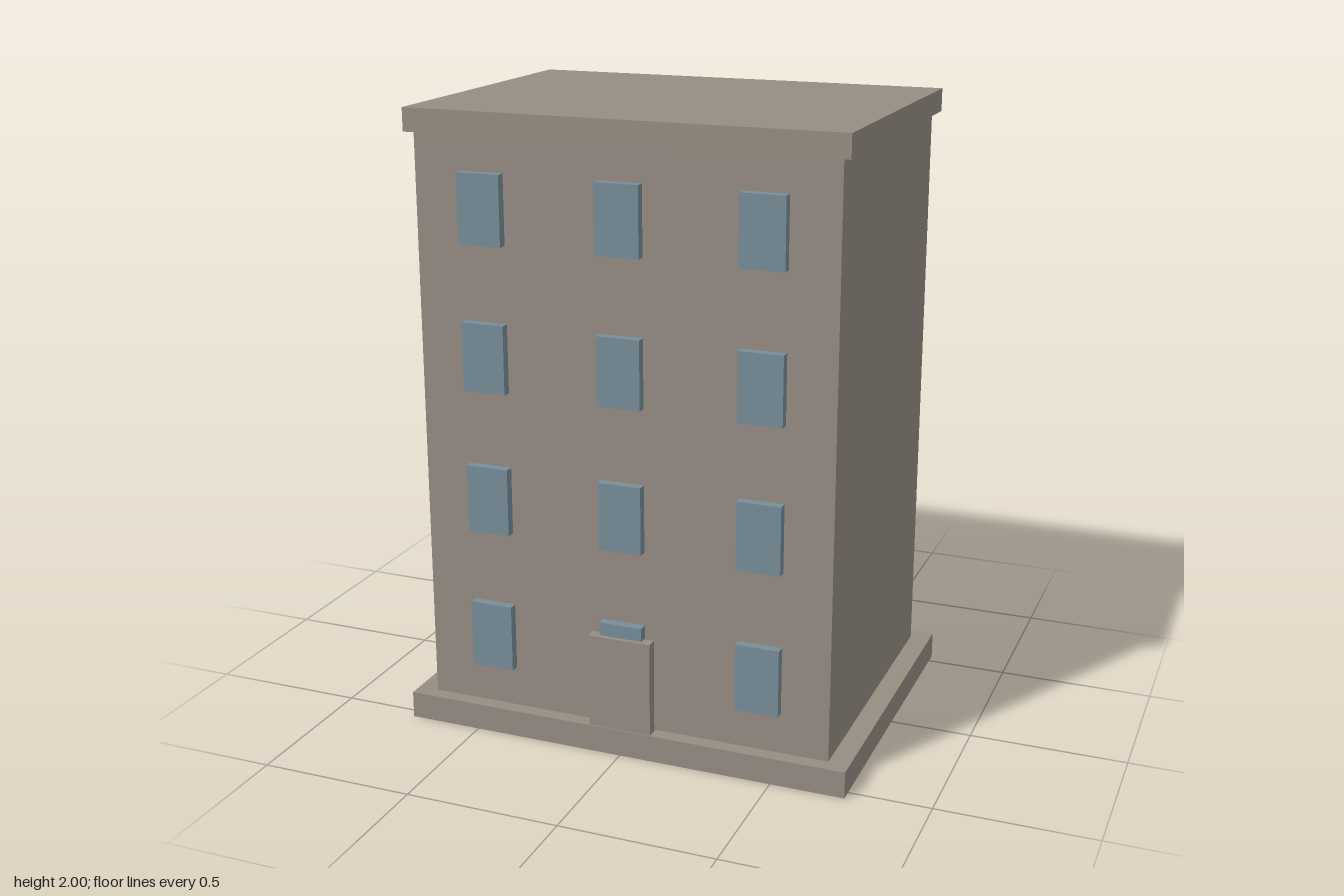
import * as THREE from 'three';

export function createModel() {
  const building = new THREE.Group();
  building.name = 'apartmentBuilding';

  const stone = new THREE.MeshStandardMaterial({ color: 0x968c82 });
  stone.name = 'stone';
  const glass = new THREE.MeshStandardMaterial({ color: 0x768d99 });
  glass.name = 'glass';

  // Box spanning y0..y1, centred on x and z
  function block(name, material, width, y0, y1, depth, x = 0, z = 0) {
    const mesh = new THREE.Mesh(new THREE.BoxGeometry(width, y1 - y0, depth), material);
    mesh.name = name;
    mesh.position.set(x, (y0 + y1) / 2, z);
    building.add(mesh);
  }

  // Main masses
  block('base', stone, 1.476, 0, 0.087, 1.078);
  block('walls', stone, 1.342, 0.087, 1.927, 0.984);
  block('roofSlab', stone, 1.394, 1.927, 2, 1.022);

  // Door slab on the front, just clear of the wall
  block('door', stone, 0.206, 0.087, 0.395, 0.036, 0, 0.518);

  // Four storeys of three windows, front and back
  for (const side of [1, -1]) {
    for (let floor = 0; floor < 4; floor++) {
      const sill = 0.22 + floor * 0.46;
      for (const x of [-0.447, 0, 0.447]) {
        block(side > 0 ? 'frontWindow' : 'backWindow', glass, 0.14, sill, sill + 0.218, 0.04, x, side * 0.502);
      }
    }
  }
  return building;
}
